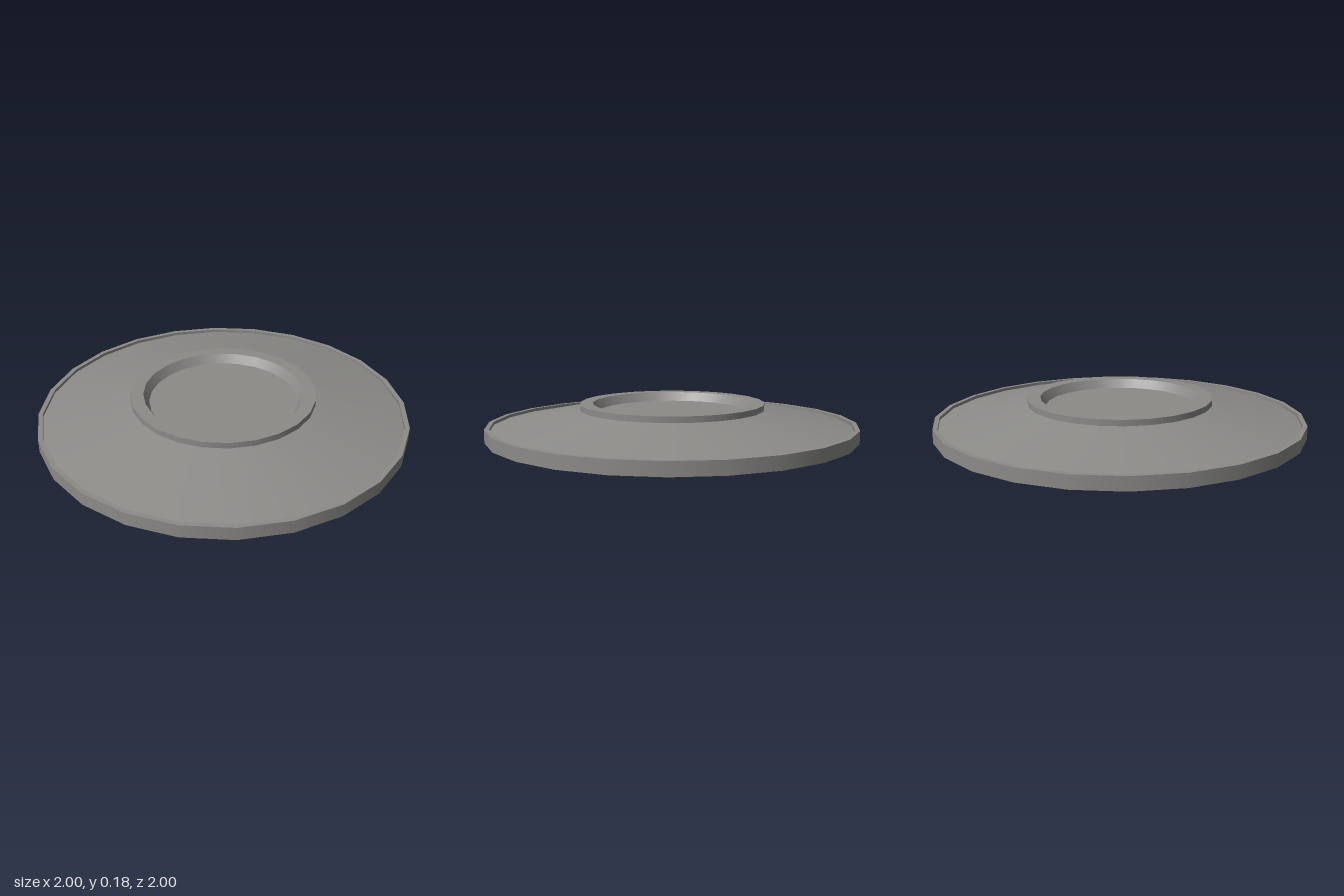
import * as THREE from 'three';
import { mergeGeometries } from 'three/addons/utils/BufferGeometryUtils.js';

const SIDES = 24;

// Turns each profile segment separately, so bands are smooth around and sharp between.
function turned(name, profile, material) {
  const bands = [];
  for (let i = 0; i < profile.length - 1; i++) {
    const pair = [profile[i], profile[i + 1]].map(([r, y]) => new THREE.Vector2(r, y));
    bands.push(new THREE.LatheGeometry(pair, SIDES));
  }
  const mesh = new THREE.Mesh(mergeGeometries(bands), material);
  mesh.name = name;
  return mesh;
}

export function createModel() {
  const group = new THREE.Group();
  group.name = 'roundBase';
  const grey = new THREE.MeshStandardMaterial({ color: 0x8c8b88 });
  grey.name = 'warm grey';

  // Underside: hollow ring between the central foot and the outer rim
  group.add(turned('underside', [
    [0, 0.047], [0.4, 0.047], [0.43, 0], [0.5, 0],
    [0.53, 0.047], [0.895, 0.047], [0.93, 0],
  ], grey));

  // Outer rim with a small lip above the slope
  group.add(turned('outerRim', [
    [0.93, 0], [1, 0], [1, 0.07], [0.975, 0.07], [0.975, 0.053],
  ], grey));

  // Sloping top
  group.add(turned('slopingTop', [[0.975, 0.053], [0.5, 0.148]], grey));

  // Raised collar around the shallow well
  group.add(turned('collar', [
    [0.5, 0.148], [0.5, 0.18], [0.43, 0.18], [0.4, 0.132],
  ], grey));
  group.add(turned('wellFloor', [[0.4, 0.132], [0, 0.132]], grey));

  return group;
}
